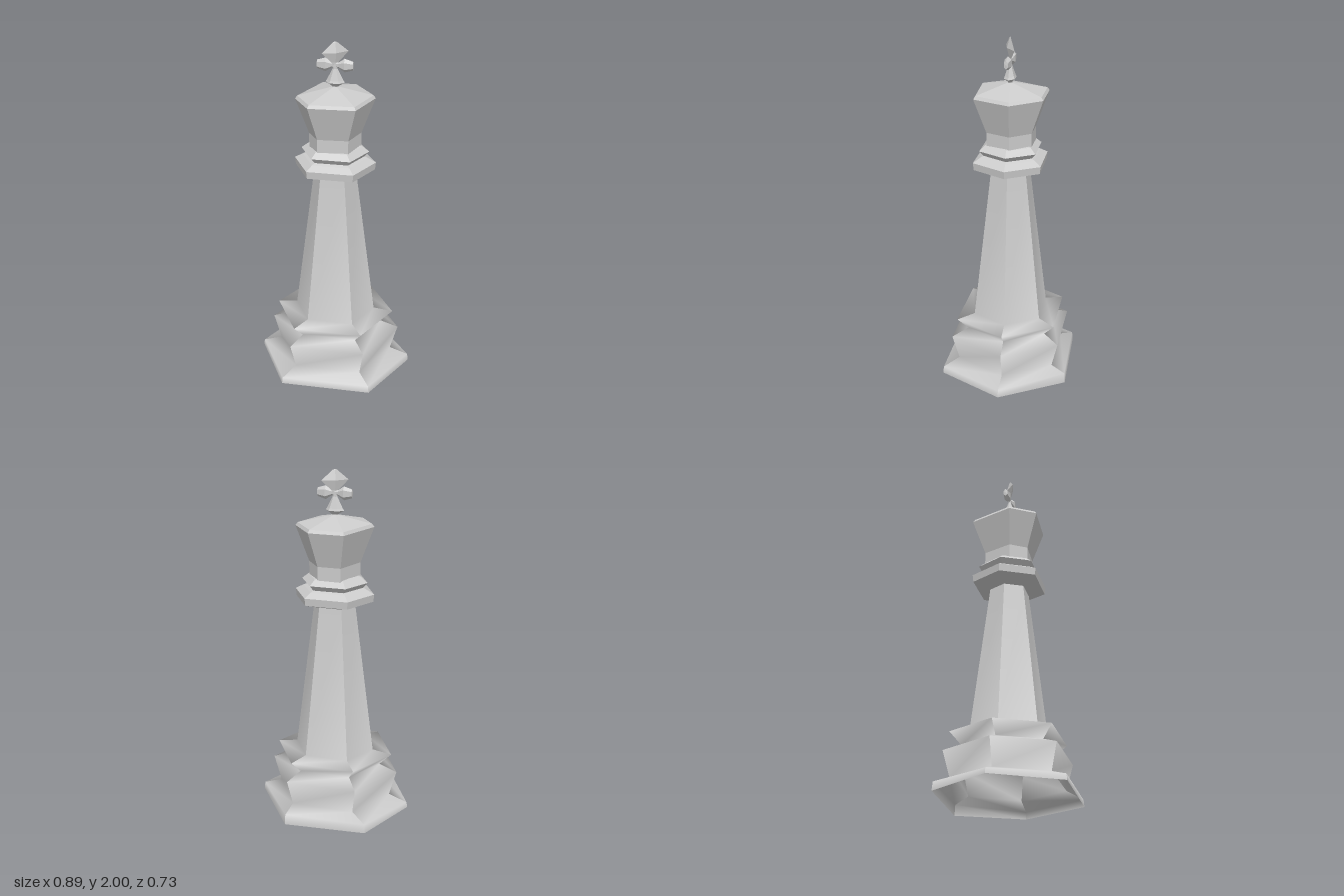
import * as THREE from 'three';
import { mergeGeometries } from 'three/addons/utils/BufferGeometryUtils.js';

const material = new THREE.MeshStandardMaterial({ color: 0xcccccc, side: THREE.DoubleSide });

// Hand-cut hexagon outlines [x, z] of unit radius, running from +x towards +z
const footHex = [[1, -0.067], [0.607, 0.775], [-0.539, 0.82], [-1.011, 0], [-0.652, -0.753], [0.404, -0.831]];
const bodyHex = [[1.01, -0.08], [0.607, 0.797], [-0.54, 0.824], [-1.02, 0], [-0.595, -0.824], [0.486, -0.865]];
const headHex = [[0.98, -0.18], [0.66, 0.77], [-0.5, 0.87], [-0.95, 0.25], [-0.523, -0.886], [0.386, -0.909]];

// Unit ellipse outline of n corners
const ellipse = (n, rx, rz) => Array.from({ length: n }, (_, i) => {
  const a = (i / n) * Math.PI * 2;
  return [Math.cos(a) * rx, Math.sin(a) * rz];
});

// One ring of 3D points: an outline scaled by r at height y
const ring = (outline, r, y) => outline.map(([x, z]) => [x * r, y, z * r]);
const rings = (outline, profile) => profile.map(([r, y]) => ring(outline, r, y));

// Joins rings from bottom to top; each side is its own strip, so vertical
// corners stay sharp while a strip is either smooth or faceted along its height
function loft(ringList, smooth = false) {
  const n = ringList[0].length;
  const strips = [];
  for (let s = 0; s < n; s++) {
    const pos = [], index = [];
    ringList.forEach((r, k) => {
      pos.push(...r[s], ...r[(s + 1) % n]);
      if (k) {
        const a = 2 * k - 2;
        index.push(a, a + 2, a + 1, a + 1, a + 2, a + 3);
      }
    });
    let g = new THREE.BufferGeometry();
    g.setAttribute('position', new THREE.Float32BufferAttribute(pos, 3));
    g.setIndex(index);
    if (!smooth) g = g.toNonIndexed();
    g.computeVertexNormals();
    strips.push(g);
  }
  return mergeGeometries(strips);
}

export function createModel() {
  const model = new THREE.Group();
  model.name = 'chessKing';
  const add = (name, geometry, parent = model) => {
    const mesh = new THREE.Mesh(geometry, material);
    mesh.name = name;
    parent.add(mesh);
    return mesh;
  };

  // Stepped, open-bottomed foot running smoothly into the tapered shaft
  const footHeights = [0.02, 0.02, 0.025, 0.03, 0.01, 0];
  const foot = ring(footHex, 0.445, 0).map(([x, , z], i) => [x, footHeights[i], z]);
  add('footAndShaft', loft([
    foot,
    ring(footHex, 0.44, 0.06),
    ...rings(bodyHex, [[0.33, 0.097], [0.372, 0.247], [0.27, 0.285], [0.338, 0.355], [0.228, 0.372], [0.118, 1.245]]),
  ], true));

  // Two stacked collars
  add('collar', loft(rings(bodyHex, [
    [0.118, 1.243], [0.22, 1.275], [0.225, 1.317], [0.18, 1.342],
    [0.16, 1.35], [0.187, 1.38], [0.15, 1.41], [0.13, 1.415],
  ])));

  // Neck, flared head and its shallow roof
  add('head', loft(rings(headHex, [[0.145, 1.4], [0.145, 1.485], [0.22, 1.685], [0.208, 1.702], [0.015, 1.75]])));

  // Cross finial: foot, two arms and a twisted diamond on top
  const cross = new THREE.Group();
  cross.name = 'cross';
  model.add(cross);
  add('crossFoot', loft(rings(ellipse(6, 1, 0.65), [
    [0.014, 1.74], [0.02, 1.755], [0.053, 1.775], [0.045, 1.787], [0.014, 1.85], [0.012, 1.875],
  ])), cross);
  for (const side of [1, -1]) {
    const arm = add(side > 0 ? 'leftArm' : 'rightArm', loft(rings(ellipse(6, 1, 0.55), [
      [0.012, 0], [0.016, 0.02], [0.038, 0.052], [0.024, 0.098], [0, 0.1],
    ])), cross);
    arm.position.y = 1.87;
    arm.rotation.z = -side * Math.PI / 2;
  }
  const diamond = add('crossDiamond', loft(rings(ellipse(4, 1, 0.25), [
    [0.014, 1.86], [0.02, 1.885], [0.075, 1.94], [0.012, 1.995], [0, 2],
  ])), cross);
  diamond.rotation.y = Math.PI / 6;

  return model;
}
